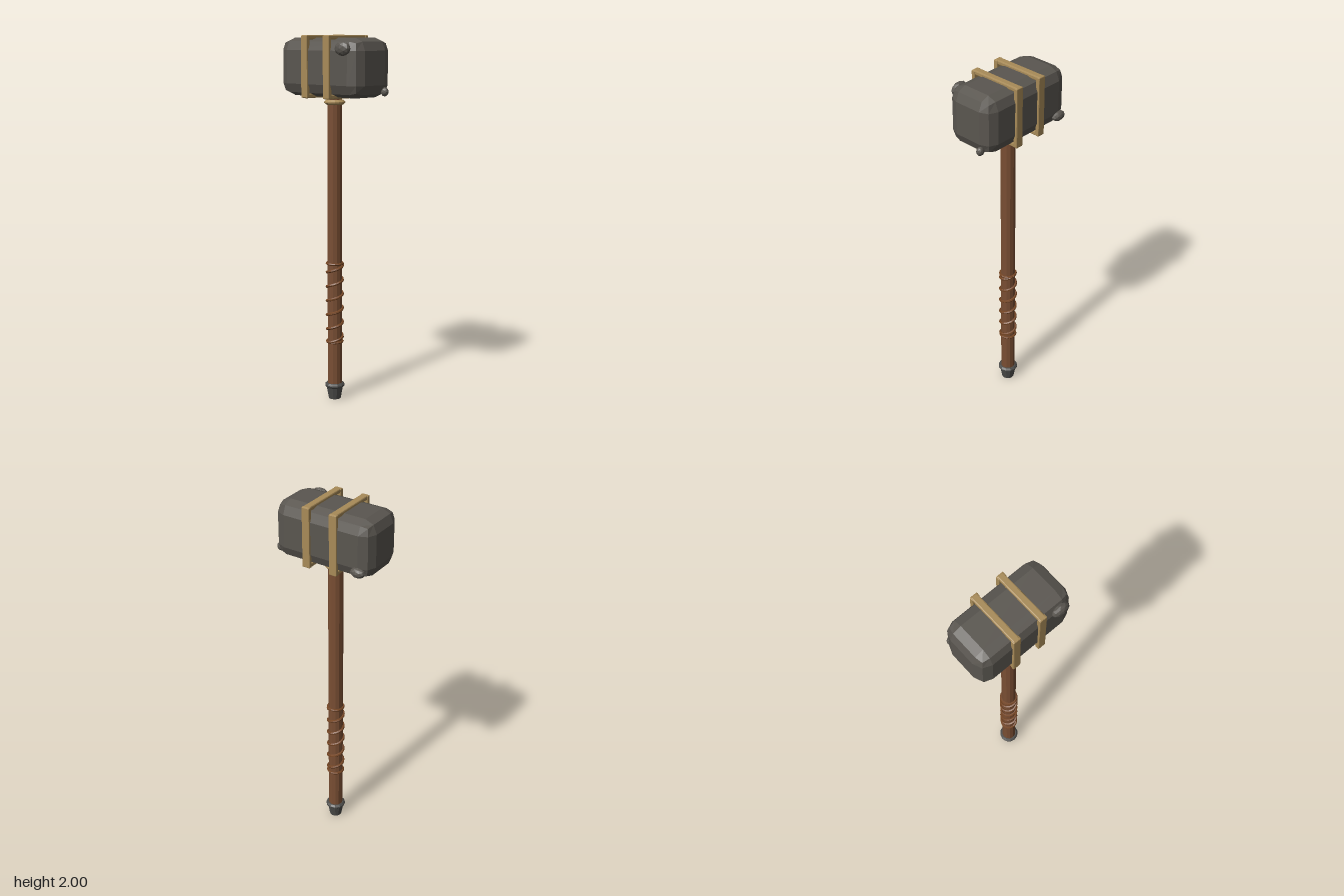
import * as THREE from 'three';
import { RoundedBoxGeometry } from 'three/addons/geometries/RoundedBoxGeometry.js';

const flat = (name, color) => {
  const m = new THREE.MeshStandardMaterial({ color, flatShading: true });
  m.name = name;
  return m;
};

export function createModel() {
  const stone = flat('stone', 0x5a5650);
  const brass = flat('brass', 0xa88b58);
  const wood = flat('wood', 0x794e33);
  const leather = flat('leather', 0x754624);
  const iron = flat('iron', 0x4c4c4a);

  const model = new THREE.Group();
  model.name = 'hammer';
  // everything is centred on the handle axis, slightly off the origin
  const hammer = new THREE.Group();
  hammer.name = 'hammerParts';
  hammer.position.set(-0.011, 0, -0.003);
  model.add(hammer);

  const add = (name, geometry, material, x = 0, y = 0, z = 0, parent = hammer) => {
    const mesh = new THREE.Mesh(geometry, material);
    mesh.name = name;
    mesh.position.set(x, y, z);
    parent.add(mesh);
    return mesh;
  };
  const lathe = (points, sides) =>
    new THREE.LatheGeometry(points.map(([r, y]) => new THREE.Vector2(r, y)), sides);

  // head: block with two-step bevels
  const headY = 1.833;
  add('head', new RoundedBoxGeometry(0.566, 0.306, 0.283, 1, 0.065), stone, 0, headY, 0);

  // chips of stone stuck to the head
  const chips = [
    [0.191, 1.933, 0.145, 0.05, 0.038, 0.026],
    [-0.219, 1.727, -0.141, 0.042, 0.027, 0.026],
    [0.281, 1.71, -0.08, 0.022, 0.024, 0.019],
  ];
  chips.forEach(([x, y, z, sx, sy, sz], i) => {
    const chip = add('stoneChip' + (i + 1), new THREE.IcosahedronGeometry(1, 1), stone, x, y, z);
    chip.scale.set(sx, sy, sz);
  });

  // two square bands, each made of four bevelled bars
  for (const x of [-0.079, 0.079]) {
    const band = new THREE.Group();
    band.name = x < 0 ? 'rightBand' : 'leftBand';
    band.position.set(x, 1.836, 0);
    hammer.add(band);
    for (const s of [-1, 1]) {
      add('bandBar', new RoundedBoxGeometry(0.038, 0.024, 0.3, 1, 0.006), brass, 0, s * 0.152, 0, band);
      add('bandSide', new RoundedBoxGeometry(0.044, 0.324, 0.022, 1, 0.004), brass, 0, 0, s * 0.141, band);
    }
  }

  // handle shaft and the collar under the head
  add('handle', new THREE.CylinderGeometry(0.04, 0.04, 1.64, 12), wood, 0, 0.88, 0);
  add('collar', lathe([[0.038, 1.634], [0.046, 1.636], [0.056, 1.645], [0.056, 1.652], [0.046, 1.661], [0.038, 1.663]], 16), brass);

  // pommel: tapered cup with a flange
  add('pommel', lathe([[0, 0], [0.034, 0], [0.046, 0.065], [0.055, 0.074], [0.055, 0.081], [0.046, 0.09], [0, 0.09]], 12), iron);

  // spiral grip wrap, closed by a ring at each end
  const bottom = 0.329, top = 0.771, turns = 5.5, steps = 66;
  const path = [];
  for (let i = 0; i <= steps; i++) {
    const t = i / steps, a = t * turns * Math.PI * 2;
    path.push(new THREE.Vector3(Math.sin(a) * 0.043, bottom + (top - bottom) * t, Math.cos(a) * 0.043));
  }
  add('gripWrap', new THREE.TubeGeometry(new THREE.CatmullRomCurve3(path), 110, 0.008, 6), leather);
  for (const y of [bottom, top]) {
    const ring = add('gripRing', new THREE.TorusGeometry(0.043, 0.007, 6, 16), leather, 0, y, 0);
    ring.rotation.x = Math.PI / 2;
  }

  return model;
}
